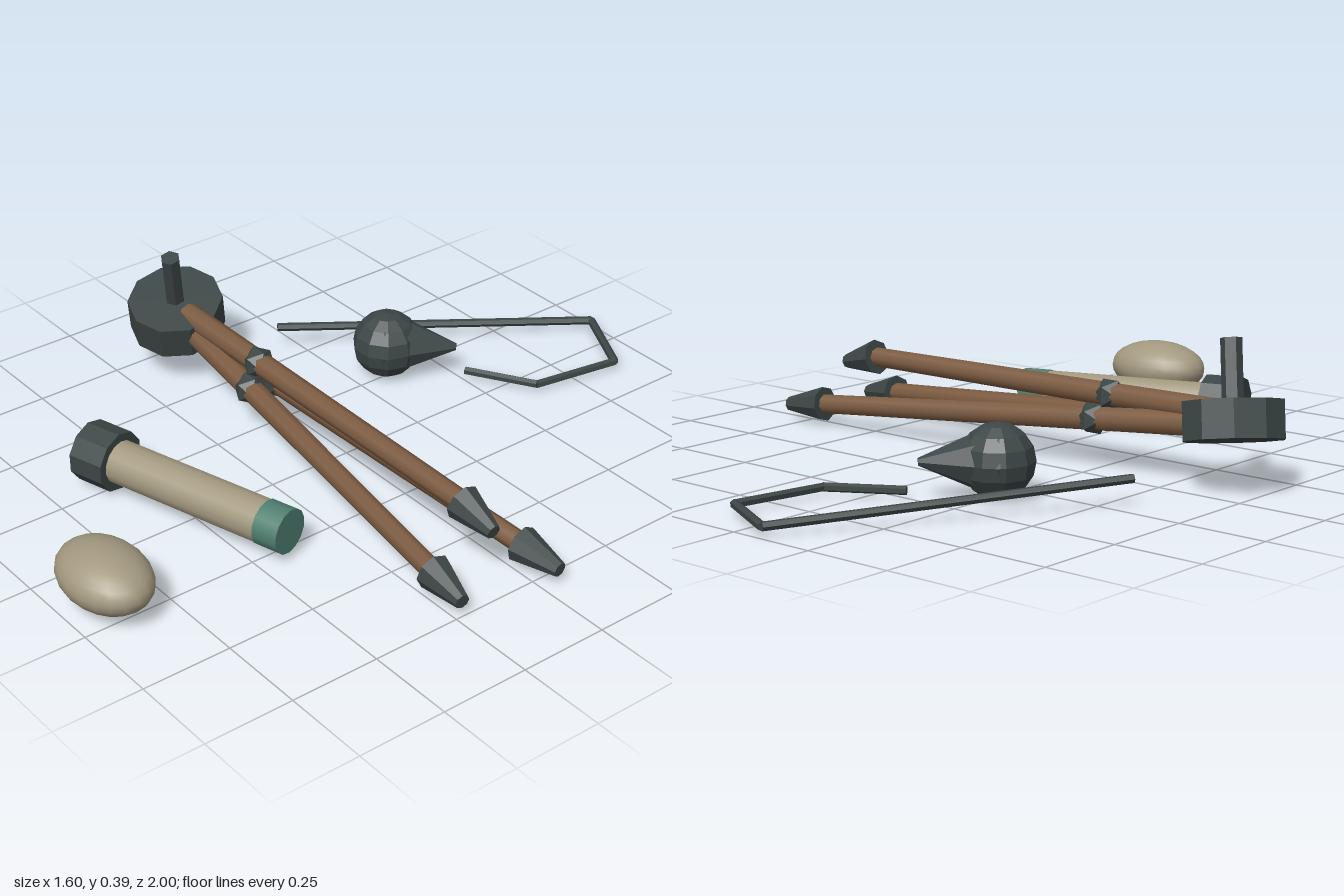
import * as THREE from 'three';

export function createModel() {
  const group = new THREE.Group();
  const mat = (name, color, flat = false) => {
    const m = new THREE.MeshStandardMaterial({ color, flatShading: flat });
    m.name = name;
    return m;
  };
  const metal = mat('dark metal', 0x3d4646, true);
  const wood = mat('wood', 0x7d5c42);
  const canvas = mat('canvas', 0xa39980);
  const teal = mat('teal', 0x4f7f70);

  const V = (x, y, z) => new THREE.Vector3(x, y, z);
  const UP = V(0, 1, 0);
  const add = (name, geometry, material, position) => {
    const mesh = new THREE.Mesh(geometry, material);
    mesh.name = name;
    mesh.position.copy(position);
    group.add(mesh);
    return mesh;
  };
  // Tapered cylinder running from point a (radius ra) to point b (radius rb)
  const rod = (name, a, b, ra, rb, sides, material) => {
    const dir = b.clone().sub(a);
    const mesh = add(name, new THREE.CylinderGeometry(rb, ra, dir.length(), sides),
      material, a.clone().add(b).multiplyScalar(0.5));
    mesh.quaternion.setFromUnitVectors(UP, dir.normalize());
    return mesh;
  };

  // Tripod head: leaning disc with a stub post
  const axis = V(0.2, 1, 0.2).normalize();
  const hub = V(-0.66, 0.183, 0.095);
  const along = (d) => hub.clone().addScaledVector(axis, d);
  rod('tripodHead', along(-0.05), along(0.05), 0.135, 0.135, 10, metal);
  rod('headPost', along(0.04), along(0.21), 0.028, 0.028, 6, metal);

  // Three folded legs, each with a clamp and a pointed foot
  const legs = [
    { start: V(-0.6, 0.165, 0.09), ankle: V(0.67, 0.062, -0.03), tip: V(0.8, 0.047, -0.044), clampX: -0.24 },
    { start: V(-0.6, 0.2, 0.095), ankle: V(0.58, 0.192, 0.092), tip: V(0.7, 0.165, 0.092), clampX: -0.267 },
    { start: V(-0.6, 0.165, 0.1), ankle: V(0.625, 0.062, 0.22), tip: V(0.75, 0.047, 0.232), clampX: -0.255 },
  ];
  legs.forEach(({ start, ankle, tip, clampX }) => {
    rod('leg', start, ankle, 0.034, 0.028, 8, wood);
    rod('foot', ankle, tip, 0.05, 0.02, 8, metal);
    const t = (clampX - start.x) / (ankle.x - start.x);
    add('legClamp', new THREE.IcosahedronGeometry(0.046, 0), metal, start.clone().lerp(ankle, t));
  });

  // Rolled tube with a wide cap and a coloured end band
  const tubeA = V(-0.33, 0.09, 0.606), tubeB = V(0.298, 0.086, 0.416);
  const onTube = (t) => tubeA.clone().lerp(tubeB, t);
  rod('tubeCap', onTube(0), onTube(0.16), 0.084, 0.084, 10, metal);
  rod('tubeBody', onTube(0.15), onTube(0.89), 0.06, 0.06, 14, canvas);
  rod('tubeEndBand', onTube(0.885), onTube(1), 0.062, 0.062, 14, teal);

  // Soft pouch
  add('pouch', new THREE.SphereGeometry(1, 20, 14), canvas, V(0.177, 0.098, 0.89)).scale.set(0.153, 0.077, 0.11);

  // Plumb bob lying on its side
  const bob = V(-0.262, 0.1, -0.352);
  add('bobBall', new THREE.SphereGeometry(0.098, 10, 8), metal, bob);
  rod('bobPoint', bob, V(-0.123, 0.1, -0.493), 0.098, 0.01, 8, metal);

  // Loose bent cord
  const cord = [V(-0.565, 0.072, -0.19), V(-0.085, 0.028, -0.988), V(0.127, 0.026, -0.88),
    V(0.083, 0.026, -0.62), V(-0.1, 0.026, -0.51)];
  for (let i = 0; i < cord.length - 1; i++) {
    rod('cord', cord[i], cord[i + 1], 0.012, 0.012, 6, metal);
  }
  return group;
}
